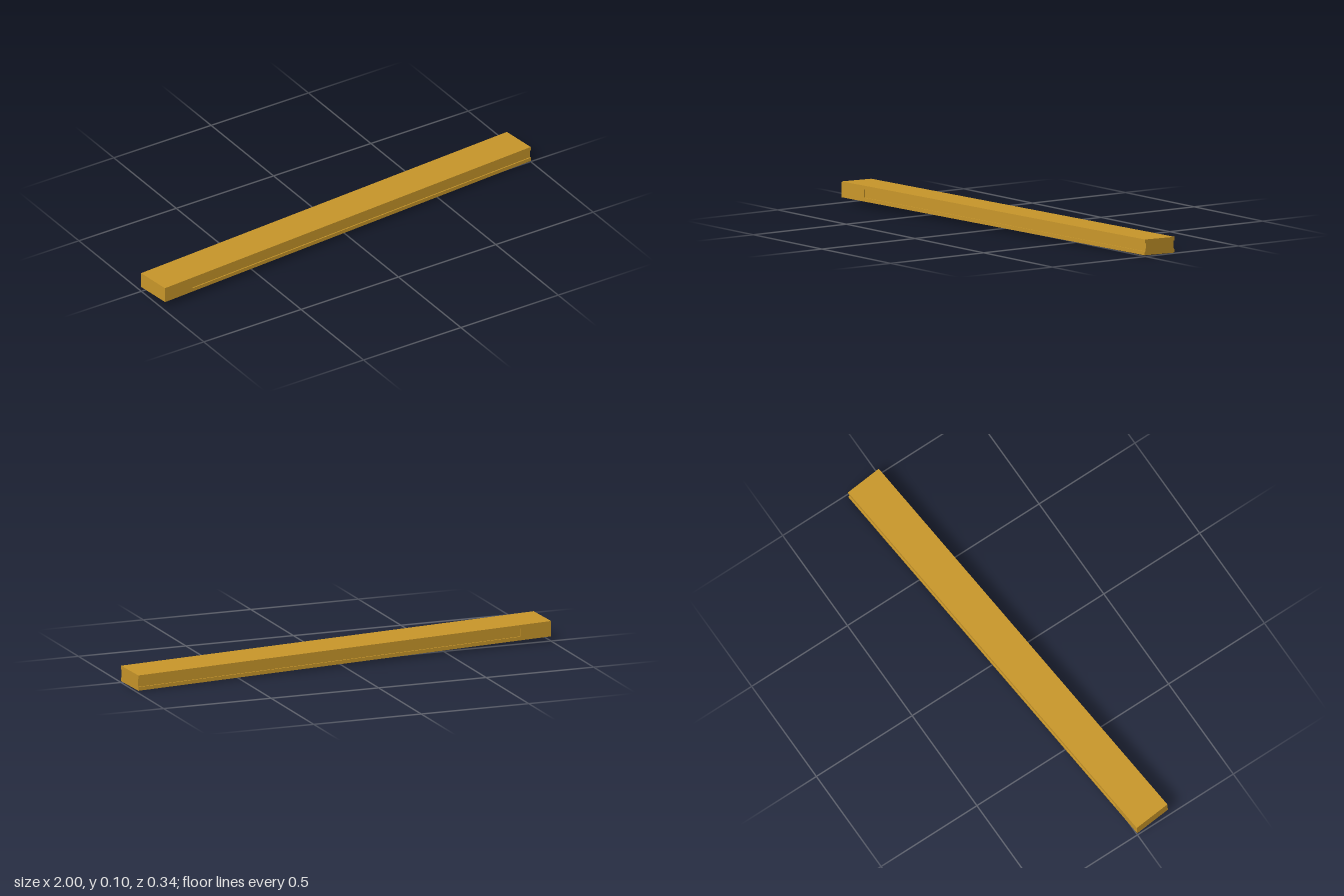
import * as THREE from 'three';

const LENGTH = 1.992, WIDTH = 0.17, HEIGHT = 0.069;
const GROOVE_DEPTH = 0.005, GROOVE_HEIGHT = 0.036;
const SOLID_END = 0.148; // ungrooved length at the -x end

export function createModel() {
  const group = new THREE.Group();
  group.name = 'groovedBeam';
  const material = new THREE.MeshStandardMaterial({ color: 0xc8962a });

  // Cross-section with a shallow groove in each long side
  const w = WIDTH / 2, h = HEIGHT / 2, g = GROOVE_HEIGHT / 2, d = w - GROOVE_DEPTH;
  const section = new THREE.Shape([
    [-w, -h], [w, -h], [w, -g], [d, -g], [d, g], [w, g],
    [w, h], [-w, h], [-w, g], [-d, g], [-d, -g], [-w, -g],
  ].map(([x, y]) => new THREE.Vector2(x, y)));
  const run = new THREE.ExtrudeGeometry(section, { depth: LENGTH - SOLID_END, bevelEnabled: false });
  run.rotateY(Math.PI / 2).translate(-LENGTH / 2 + SOLID_END, 0, 0);
  const groovedRun = new THREE.Mesh(run, material);
  groovedRun.name = 'groovedRun';

  // Solid end where the grooves stop
  const end = new THREE.BoxGeometry(SOLID_END, HEIGHT, WIDTH);
  end.translate(-LENGTH / 2 + SOLID_END / 2, 0, 0);
  const solidEnd = new THREE.Mesh(end, material);
  solidEnd.name = 'solidEnd';

  // The beam lies slightly turned and tilted
  const beam = new THREE.Group();
  beam.name = 'beam';
  beam.add(groovedRun, solidEnd);
  beam.rotation.set(-0.033, 0.083, -0.0106, 'YZX');
  beam.position.y = 0.048;
  group.add(beam);
  return group;
}
